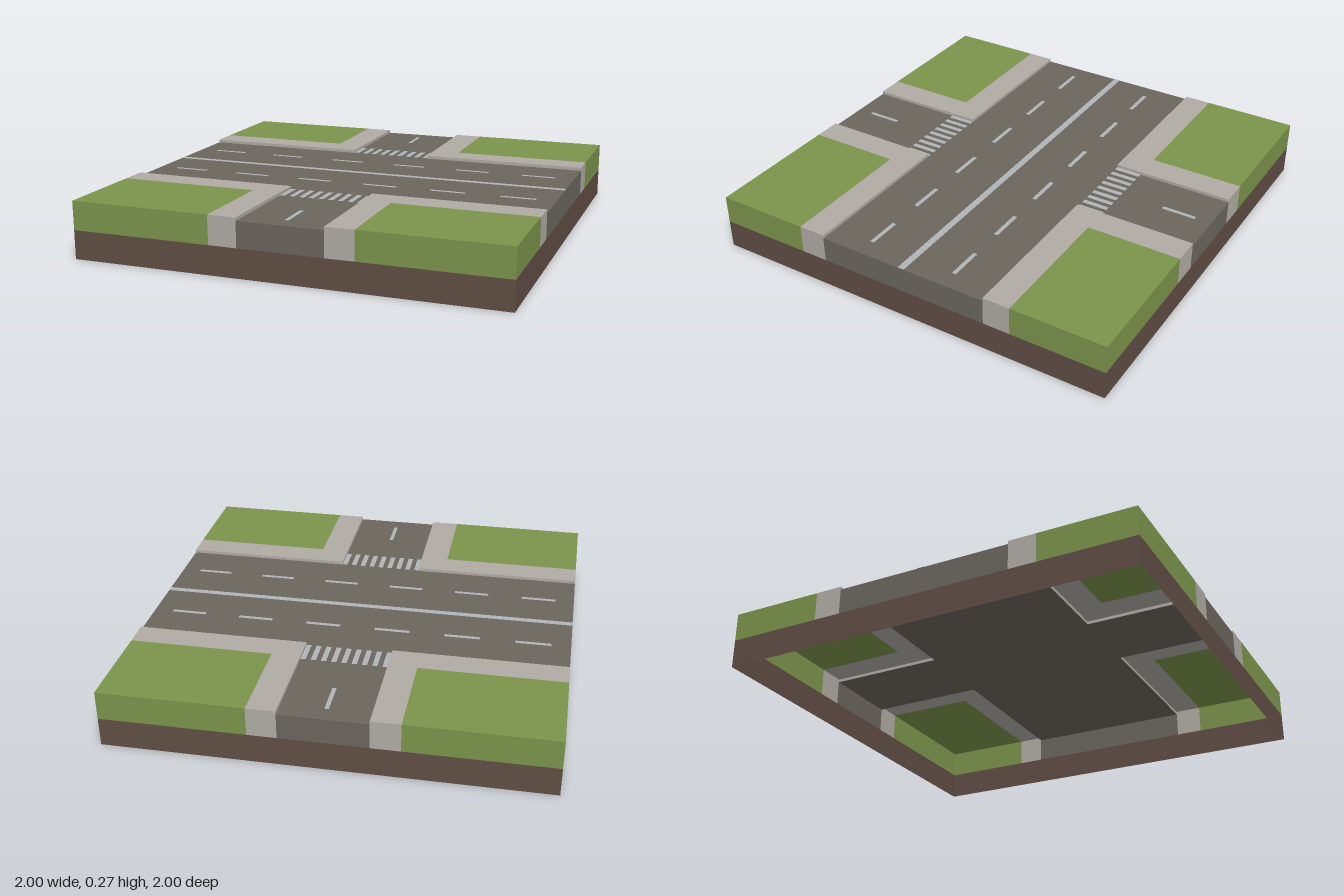
import * as THREE from 'three';

const ROAD_Y = 0.255, TOP_Y = 0.27, SOIL_Y = 0.135;
const ROAD_X = 0.2, WALK_X = 0.333; // half widths of the side street and its pavement
const ROAD_Z = 0.42, WALK_Z = 0.55; // half widths of the main street and its pavement

const paint = (color) => new THREE.MeshStandardMaterial({
  color, roughness: 1, flatShading: true, side: THREE.DoubleSide,
});

export function createModel() {
  const model = new THREE.Group();
  model.name = 'crossroadTile';
  const grass = paint(0x7b944b), road = paint(0x6b665e), walk = paint(0xb0aba4);
  const soil = paint(0x604e44), line = paint(0xb0b4b6);

  const add = (name, geometry, material) => {
    const mesh = new THREE.Mesh(geometry, material);
    mesh.name = name;
    model.add(mesh);
  };
  // Horizontal sheet between two corners, facing up
  const sheet = (name, material, xa, xb, za, zb, y) => add(name,
    new THREE.PlaneGeometry(Math.abs(xb - xa), Math.abs(zb - za))
      .rotateX(-Math.PI / 2).translate((xa + xb) / 2, y, (za + zb) / 2), material);
  // Upright sheet across x, facing +z or -z
  const wallX = (name, material, xa, xb, z, ya, yb, facing) => add(name,
    new THREE.PlaneGeometry(Math.abs(xb - xa), yb - ya)
      .rotateY(facing > 0 ? 0 : Math.PI).translate((xa + xb) / 2, (ya + yb) / 2, z), material);
  // Upright sheet along z, facing +x or -x
  const wallZ = (name, material, za, zb, x, ya, yb, facing) => add(name,
    new THREE.PlaneGeometry(Math.abs(zb - za), yb - ya)
      .rotateY(facing * Math.PI / 2).translate(x, (ya + yb) / 2, (za + zb) / 2), material);

  // Road surfaces
  sheet('mainRoad', road, -1, 1, -ROAD_Z, ROAD_Z, ROAD_Y);
  for (const s of [-1, 1]) {
    sheet('sideRoad', road, -ROAD_X, ROAD_X, s * ROAD_Z, s, ROAD_Y);
    // Outer walls below the roads and the soil skirt; the underside is open
    wallX('sideRoadEnd', road, -ROAD_X, ROAD_X, s, SOIL_Y, ROAD_Y, s);
    wallZ('mainRoadEnd', road, -ROAD_Z, ROAD_Z, s, SOIL_Y, ROAD_Y, s);
    wallX('soilWall', soil, -1, 1, s, 0, SOIL_Y, s);
    wallZ('soilWall', soil, -1, 1, s, 0, SOIL_Y, s);
  }

  // Four corner blocks: lawn, L-shaped pavement, kerbs and outer walls
  for (const sx of [-1, 1]) for (const sz of [-1, 1]) {
    sheet('lawn', grass, sx * WALK_X, sx, sz * WALK_Z, sz, TOP_Y);
    sheet('mainPavement', walk, sx * ROAD_X, sx, sz * ROAD_Z, sz * WALK_Z, TOP_Y);
    sheet('sidePavement', walk, sx * ROAD_X, sx * WALK_X, sz * WALK_Z, sz, TOP_Y);
    wallX('mainKerb', walk, sx * ROAD_X, sx, sz * ROAD_Z, ROAD_Y, TOP_Y, -sz);
    wallZ('sideKerb', walk, sz * ROAD_Z, sz, sx * ROAD_X, ROAD_Y, TOP_Y, -sx);
    wallX('lawnWall', grass, sx * WALK_X, sx, sz, SOIL_Y, TOP_Y, sz);
    wallZ('lawnWall', grass, sz * WALK_Z, sz, sx, SOIL_Y, TOP_Y, sx);
    wallX('pavementEnd', walk, sx * ROAD_X, sx * WALK_X, sz, SOIL_Y, TOP_Y, sz);
    wallZ('pavementEnd', walk, sz * ROAD_Z, sz * WALK_Z, sx, SOIL_Y, TOP_Y, sx);
  }

  // Painted markings, just above the road
  const y = ROAD_Y + 0.002;
  sheet('centreLine', line, -1, 1, -0.02, 0.012, y);
  for (const s of [-1, 1]) {
    for (let i = 0; i < 6; i++) {
      const x = -0.827 + i * 0.331, z = s * 0.218;
      sheet('laneDash', line, x - 0.083, x + 0.083, z - 0.01, z + 0.01, y);
    }
    sheet('sideDash', line, -0.011, 0.008, s * 0.757, s * 0.922, y);
    for (let i = 0; i < 9; i++) {
      const x = -0.2 + i * 0.047;
      sheet('crossingStripe', line, x, x + 0.024, s * ROAD_Z, s * 0.547, y);
    }
  }
  return model;
}
